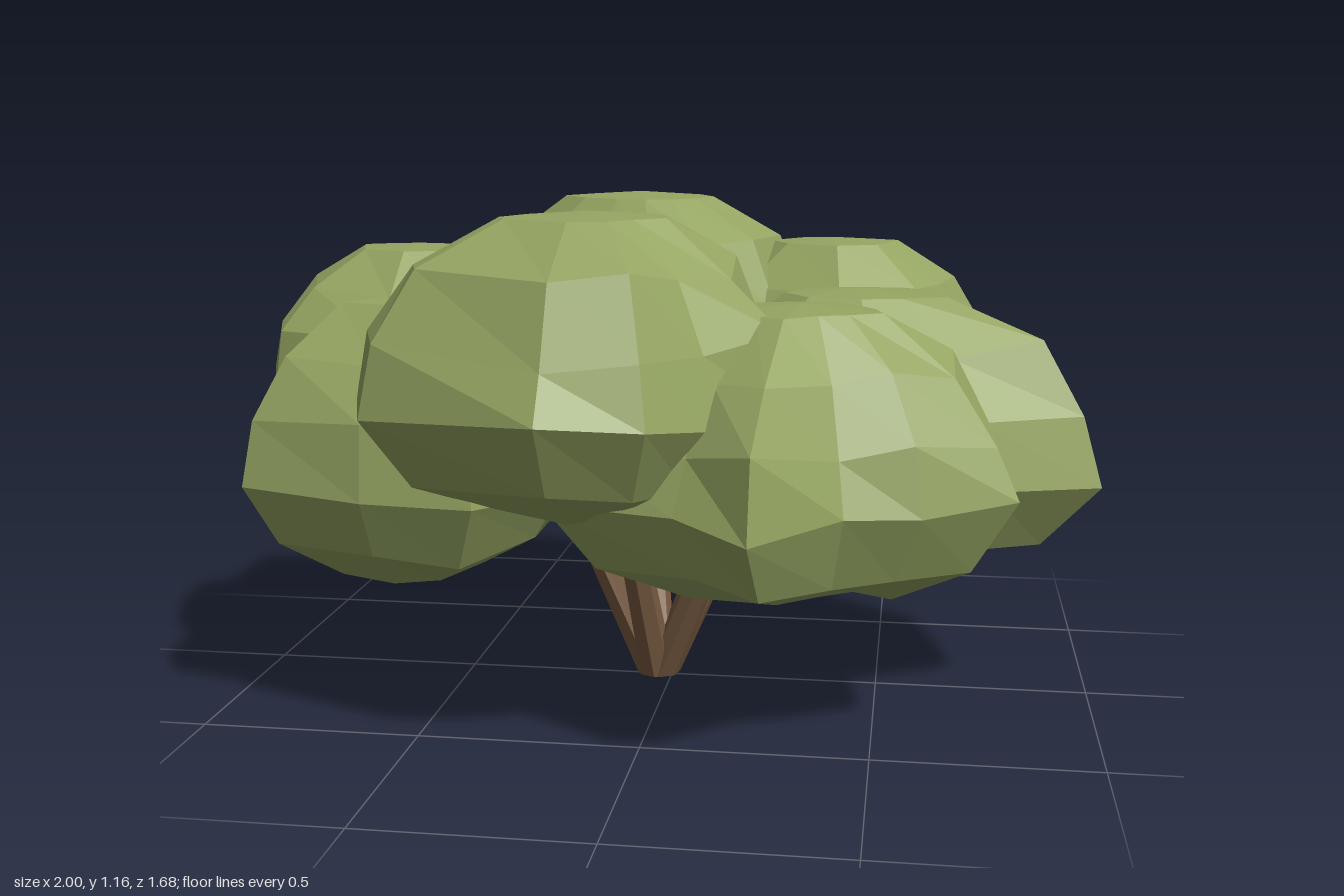
import * as THREE from 'three';

const leafMat = new THREE.MeshStandardMaterial({ color: 0x95a562, flatShading: true });
const barkMat = new THREE.MeshStandardMaterial({ color: 0x7a5c42, flatShading: true });

// Seeded random numbers in -0.5..0.5
function seeded(seed) {
  let s = seed * 7919 + 17;
  return () => ((s = (s * 16807) % 2147483647) / 2147483647) - 0.5;
}

// Leaf clump: a cushion profile swept round an uneven [x, z] outline, from y0 to y1
const PROFILE = [[0, 0.04], [0.45, 0.02], [0.8, 0.13], [1, 0.36], [0.92, 0.58], [0.73, 0.81], [0.38, 0.98], [0, 1]];
function leafClump(name, [cx, cz], [y0, y1], outline, seed) {
  const sides = outline.length, rings = PROFILE.length, rand = seeded(seed);
  const geo = new THREE.LatheGeometry(PROFILE.map(([r, h]) => new THREE.Vector2(r, h)), sides);
  const bumps = Array.from({ length: sides * rings }, rand);
  const pos = geo.attributes.position;
  for (let i = 0; i < pos.count; i++) {
    const side = Math.floor(i / rings) % sides, ring = i % rings;
    const [r, h] = PROFILE[ring], [x, z] = outline[side];
    const bump = bumps[side * rings + ring];
    const k = r * (ring === 3 ? 1 : 1 + 0.08 * bump);
    const lift = ring > 0 && ring < rings - 2 ? 0.07 * bump : 0;
    pos.setXYZ(i, cx + (x - cx) * k, y0 + (y1 - y0) * (h + lift), cz + (z - cz) * k);
  }
  geo.computeVertexNormals();
  const mesh = new THREE.Mesh(geo, leafMat);
  mesh.name = name;
  return mesh;
}

// Tapered limb whose cut ends stay level
function limb(name, from, to, r0, r1) {
  const geo = new THREE.CylinderGeometry(r1, r0, 1, 7);
  const pos = geo.attributes.position;
  for (let i = 0; i < pos.count; i++) {
    const t = pos.getY(i) + 0.5;
    pos.setXYZ(i,
      pos.getX(i) + THREE.MathUtils.lerp(from[0], to[0], t),
      THREE.MathUtils.lerp(from[1], to[1], t),
      pos.getZ(i) + THREE.MathUtils.lerp(from[2], to[2], t));
  }
  geo.computeVertexNormals();
  const mesh = new THREE.Mesh(geo, barkMat);
  mesh.name = name;
  return mesh;
}

export function createModel() {
  const tree = new THREE.Group();
  tree.name = 'tree';

  // Stems fanning out of one foot
  const trunk = new THREE.Group();
  trunk.name = 'trunk';
  const tips = [[-0.28, 0.04], [-0.1, 0.19], [0.2, 0.14], [0.23, -0.04], [0.18, -0.2], [-0.1, -0.24]];
  tips.forEach(([x, z], i) => {
    const foot = [-0.035 + x * 0.04, 0, -0.02 + z * 0.06];
    trunk.add(limb('stem' + (i + 1), foot, [x, 0.56, z], 0.044, 0.033));
  });
  tree.add(trunk);

  // Crown: high clumps in front, behind and on the right, lower ones around the sides
  const crown = new THREE.Group();
  crown.name = 'crown';
  crown.add(
    leafClump('frontClump', [-0.13, 0.38], [0.52, 1.16], [
      [-0.15, 0.84], [0.06, 0.78], [0.18, 0.62], [0.32, 0.45], [0.28, 0.2], [0.15, 0.02],
      [-0.1, -0.04], [-0.35, 0.03], [-0.5, 0.22], [-0.62, 0.48], [-0.56, 0.66]], 3),
    leafClump('backClump', [-0.14, -0.42], [0.49, 1.16], [
      [-0.05, -0.01], [0.12, -0.03], [0.27, -0.18], [0.34, -0.45], [0.22, -0.68], [-0.02, -0.78],
      [-0.25, -0.84], [-0.5, -0.72], [-0.65, -0.45], [-0.48, -0.2], [-0.25, -0.05]], 4),
    leafClump('backLeftClump', [0.36, -0.38], [0.46, 1.05], [
      [0.4, -0.04], [0.65, -0.16], [0.73, -0.36], [0.78, -0.57], [0.58, -0.66], [0.35, -0.67],
      [0.16, -0.76], [-0.06, -0.45], [0.06, -0.18]], 5),
    leafClump('leftClump', [0.42, -0.03], [0.32, 0.96], [
      [0.5, 0.33], [0.75, 0.27], [1, 0.13], [0.97, -0.05], [0.91, -0.24], [0.73, -0.38],
      [0.42, -0.38], [0.14, -0.28], [0, 0], [0.18, 0.25]], 6),
    leafClump('frontLeftClump', [0.33, 0.3], [0.32, 0.96], [
      [0.26, 0.79], [0.44, 0.62], [0.6, 0.55], [0.8, 0.44], [0.76, 0.25], [0.6, 0.02],
      [0.3, -0.08], [0.05, 0.02], [-0.15, 0.3], [-0.2, 0.55], [0.1, 0.69]], 7),
    leafClump('backRightClump', [-0.58, -0.28], [0.32, 0.97], [
      [-0.55, 0.06], [-0.3, 0], [-0.2, -0.25], [-0.35, -0.52], [-0.61, -0.6], [-0.8, -0.52],
      [-1, -0.46], [-1, -0.28], [-0.88, -0.15], [-0.8, 0]], 8),
    leafClump('rightClump', [-0.59, 0.06], [0.58, 1.06], [
      [-0.6, 0.4], [-0.35, 0.32], [-0.18, 0.08], [-0.3, -0.17], [-0.6, -0.22], [-0.85, -0.17],
      [-1, -0.09], [-0.96, 0.07], [-0.88, 0.28]], 11),
    leafClump('frontRightClump', [-0.57, 0.24], [0.32, 0.96], [
      [-0.6, 0.55], [-0.35, 0.56], [-0.2, 0.35], [-0.2, 0.1], [-0.35, -0.08], [-0.6, -0.12],
      [-0.85, -0.08], [-0.95, 0.07], [-0.9, 0.28], [-0.9, 0.46]], 9),
    leafClump('middleClump', [0, 0], [0.42, 0.97], [
      [0, 0.3], [0.25, 0.22], [0.36, 0], [0.25, -0.24], [0, -0.32], [-0.27, -0.24],
      [-0.38, 0], [-0.27, 0.22]], 10),
  );
  tree.add(crown);
  return tree;
}
